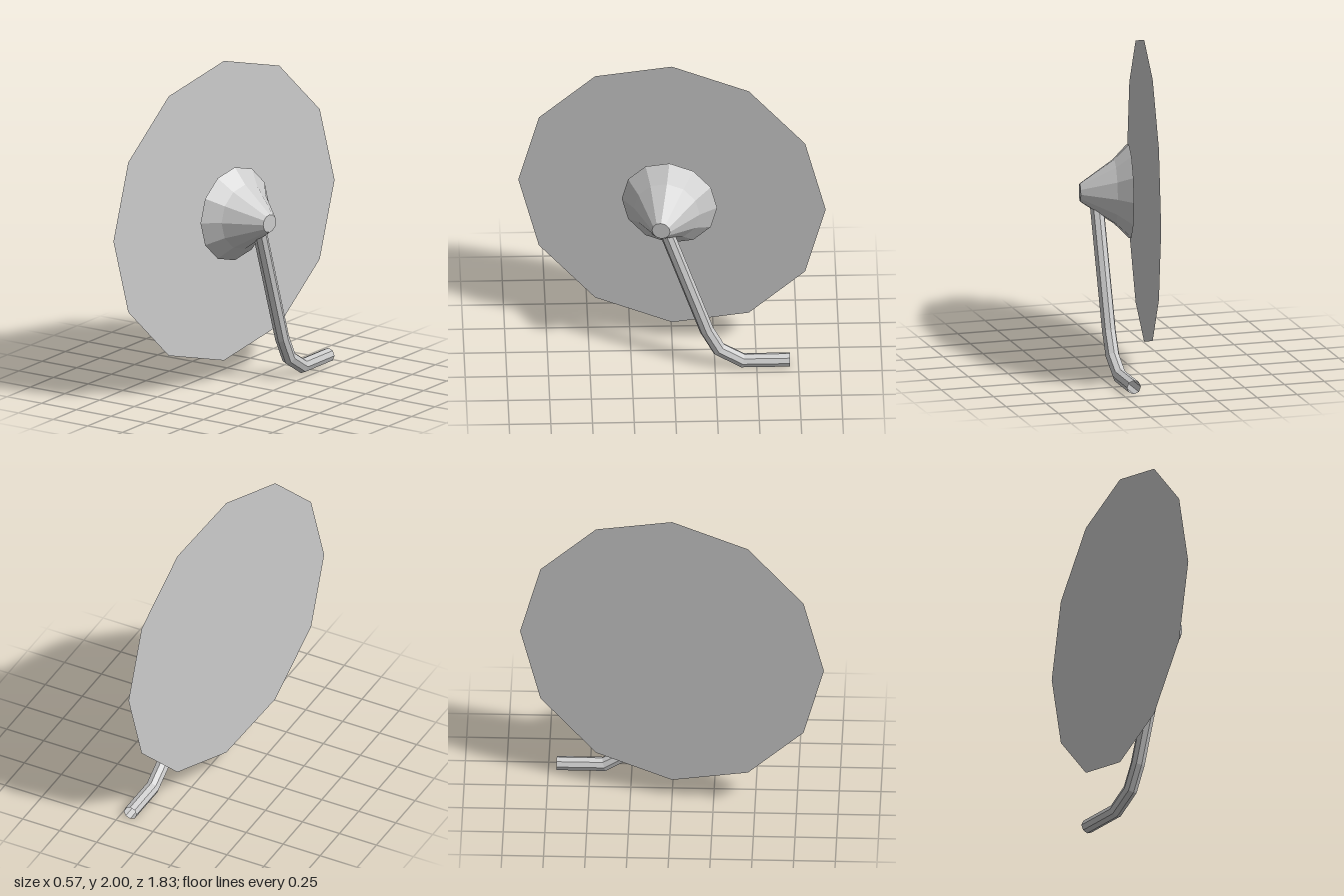
import * as THREE from 'three';

const SIDES = 12;

// Tube in a plane of constant x, with mitred rings at each [y, z] path point
function mitredTube(path, x, radius, sides) {
  const pts = path.map(([y, z]) => new THREE.Vector3(x, y, z));
  const xAxis = new THREE.Vector3(1, 0, 0);
  const positions = [], index = [];
  pts.forEach((p, i) => {
    const a = i > 0 ? p.clone().sub(pts[i - 1]).normalize() : null;
    const b = i < pts.length - 1 ? pts[i + 1].clone().sub(p).normalize() : null;
    const tangent = (a || b).clone().add(b || a).normalize();
    const stretch = 1 / tangent.dot(a || b);
    const across = new THREE.Vector3().crossVectors(tangent, xAxis);
    for (let j = 0; j < sides; j++) {
      const t = (j / sides) * Math.PI * 2;
      const v = p.clone()
        .addScaledVector(xAxis, Math.cos(t) * radius)
        .addScaledVector(across, Math.sin(t) * radius * stretch);
      positions.push(v.x, v.y, v.z);
      if (i > 0) {
        const k = (j + 1) % sides, r0 = (i - 1) * sides, r1 = i * sides;
        index.push(r0 + j, r0 + k, r1 + j, r0 + k, r1 + k, r1 + j);
      }
    }
  });
  const geometry = new THREE.BufferGeometry();
  geometry.setAttribute('position', new THREE.Float32BufferAttribute(positions, 3));
  geometry.setIndex(index);
  geometry.computeVertexNormals();
  return geometry;
}

export function createModel() {
  const model = new THREE.Group();
  model.name = 'roundMirror';
  const material = new THREE.MeshStandardMaterial({
    color: 0xcccccc, flatShading: true, side: THREE.DoubleSide,
  });

  // Mirror head, turned slightly; its local +x axis points out of the back
  const head = new THREE.Group();
  head.name = 'mirrorHead';
  head.position.set(-0.105, 1.065, 0);
  head.rotation.y = -0.197;
  model.add(head);

  // Flat mirror disc
  const disc = new THREE.Mesh(new THREE.CircleGeometry(0.935, SIDES), material);
  disc.name = 'mirrorDisc';
  disc.rotation.y = -Math.PI / 2;
  head.add(disc);

  // Conical housing: open towards the disc, closed at the tip
  const profile = [[0.29, 0.092], [0.2, 0.18], [0.055, 0.388], [0, 0.388]]
    .map(([r, h]) => new THREE.Vector2(r, h));
  const housing = new THREE.Mesh(new THREE.LatheGeometry(profile, SIDES), material);
  housing.name = 'housing';
  housing.rotation.z = -Math.PI / 2;
  head.add(housing);

  // Bent support arm with an open end
  const path = [[1.0, 0.045], [0.27, -0.2], [0.13, -0.273], [0.043, -0.415], [0.043, -0.7]];
  const arm = new THREE.Mesh(mitredTube(path, 0.18, 0.043, 8), material);
  arm.name = 'supportArm';
  model.add(arm);

  return model;
}
